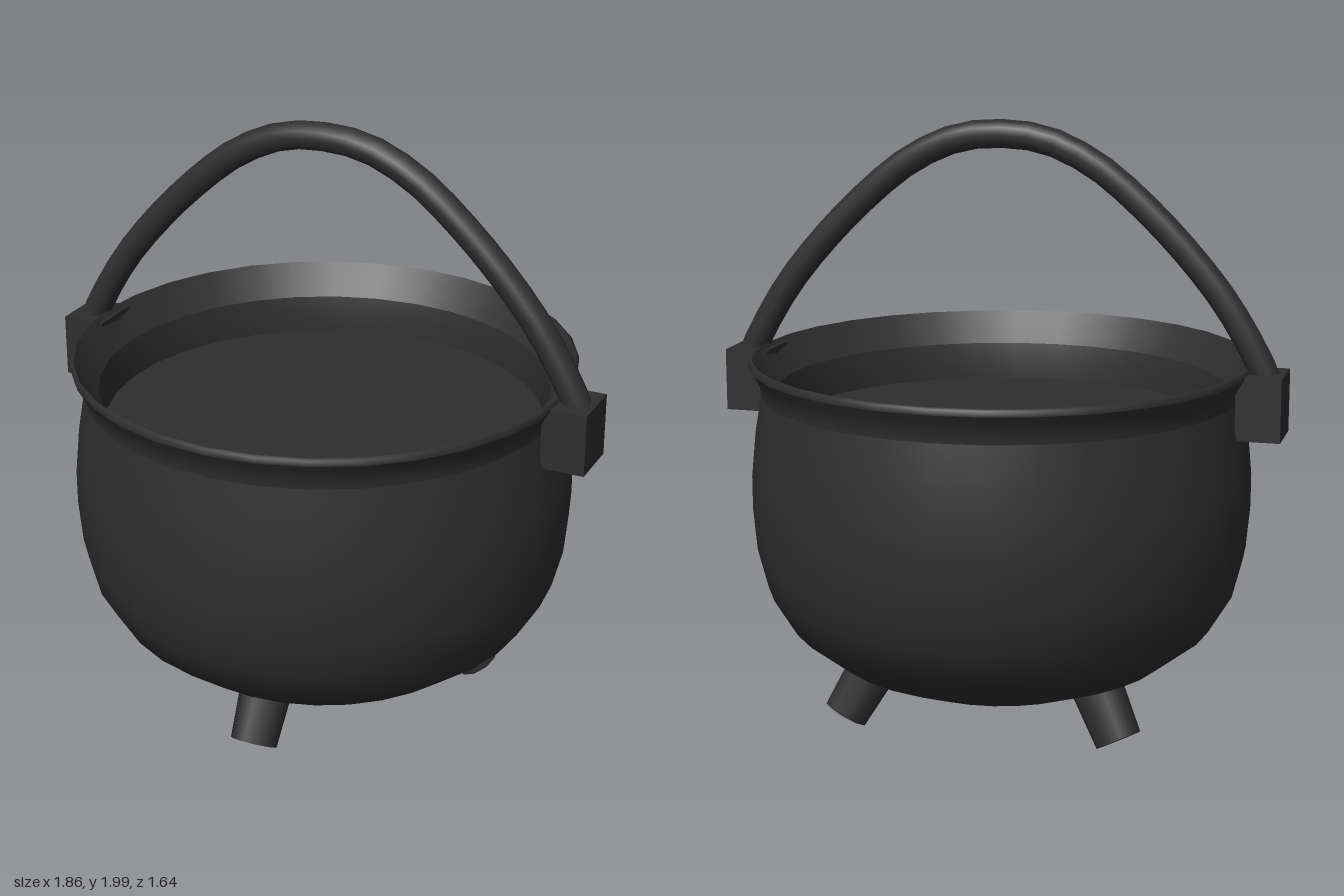
import * as THREE from 'three';

const SIDES = 32;

function lathe(points) {
  return new THREE.LatheGeometry(points.map(([r, y]) => new THREE.Vector2(r, y)), SIDES);
}

export function createModel() {
  const model = new THREE.Group();
  model.name = 'cauldron';
  const iron = new THREE.MeshStandardMaterial({ color: 0x2e2e2e });
  iron.name = 'dark iron';

  function add(name, geometry, parent = model) {
    const mesh = new THREE.Mesh(geometry, iron);
    mesh.name = name;
    parent.add(mesh);
    return mesh;
  }

  // Rounded bowl up to the neck
  add('bowl', lathe([
    [0, 0.145], [0.2, 0.147], [0.38, 0.16], [0.56, 0.235], [0.7, 0.345], [0.775, 0.47],
    [0.808, 0.6], [0.82, 0.74], [0.82, 0.85], [0.805, 1.0], [0.785, 1.12],
  ]));

  // Flared lip: outside, top edge and inside slope
  add('lipOutside', lathe([[0.785, 1.12], [0.788, 1.15], [0.803, 1.18], [0.822, 1.212]]));
  add('lipEdge', lathe([[0.822, 1.212], [0.822, 1.23], [0.812, 1.235]]));
  add('lipInside', lathe([[0.812, 1.235], [0.775, 1.18], [0.737, 1.13]]));
  add('innerWall', lathe([[0.737, 1.13], [0.725, 1.07], [0.722, 1.0]]));

  // Flat surface of the contents
  const contents = add('contents', new THREE.CircleGeometry(0.724, SIDES));
  contents.rotation.x = -Math.PI / 2;
  contents.position.y = 1.005;

  // Block-shaped ears holding the handle
  for (const side of [1, -1]) {
    const ear = add(side > 0 ? 'leftEar' : 'rightEar', new THREE.BoxGeometry(0.145, 0.205, 0.185));
    ear.position.set(side * 0.858, 1.118, 0);
  }

  // Arched handle, mirrored about the middle
  const half = [[0.885, 1.16], [0.855, 1.235], [0.74, 1.43], [0.61, 1.59], [0.46, 1.74], [0.31, 1.86], [0.15, 1.935]];
  const path = [
    ...half.map(([x, y]) => new THREE.Vector3(-x, y, 0)),
    new THREE.Vector3(0, 1.953, 0),
    ...half.slice().reverse().map(([x, y]) => new THREE.Vector3(x, y, 0)),
  ];
  add('handle', new THREE.TubeGeometry(new THREE.CatmullRomCurve3(path), 28, 0.046, 12));

  // Three splayed feet, one at the front
  for (let i = 0; i < 3; i++) {
    const pivot = new THREE.Group();
    pivot.name = 'foot' + (i + 1);
    pivot.rotation.y = (i * Math.PI * 2) / 3;
    model.add(pivot);
    const foot = add('footPeg', new THREE.CylinderGeometry(0.09, 0.077, 0.26, 10).translate(0, 0.13, 0), pivot);
    foot.position.set(0, 0.045, 0.535);
    foot.rotation.x = -0.55;
  }

  return model;
}
